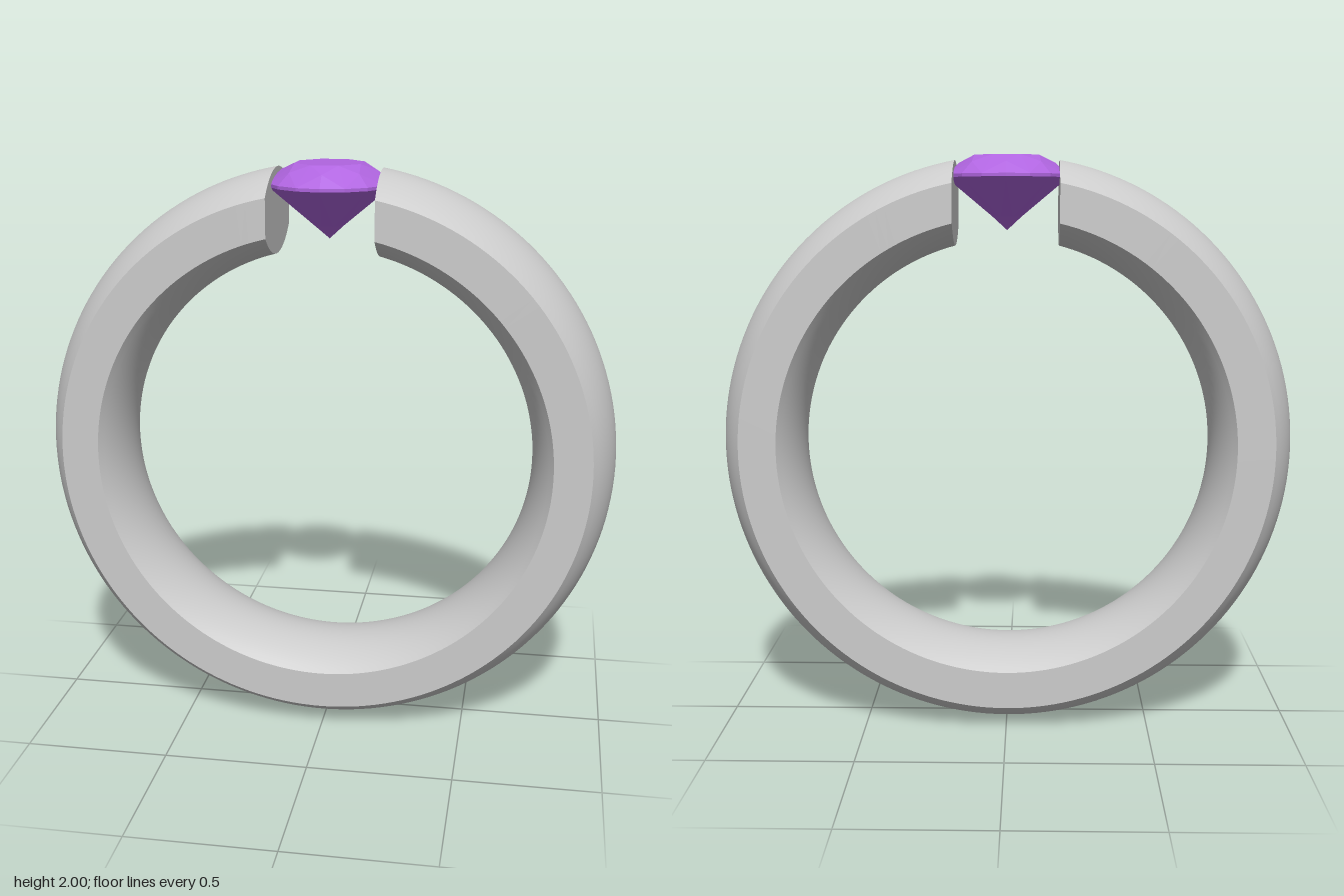
import * as THREE from 'three';

const W = 0.207;      // half width of the band
const GAP = 0.18;     // half opening at the top
const CY = 1.0;       // ring centre height

// Bulged edge of the band section: points [z, radius] between z0 and z1
function bulge(z0, z1, edge, crown, n = 20) {
  const sag = Math.abs(crown - edge), R = (W * W + sag * sag) / (2 * sag);
  return Array.from({ length: n + 1 }, (_, i) => {
    const z = z0 + (z1 - z0) * i / n;
    const h = Math.sqrt(R * R - z * z) - (R - sag);
    return [z, edge + Math.sign(crown - edge) * h];
  });
}

// Sweep a run of section points round the ring, stopping at the planes x = +-GAP
function sweep(points, n = 160) {
  const pos = [], idx = [], row = points.length;
  for (let i = 0; i <= n; i++) {
    for (const [z, r] of points) {
      const start = Math.asin(GAP / r);
      const a = start + (2 * Math.PI - 2 * start) * i / n;
      pos.push(r * Math.sin(a), CY + r * Math.cos(a), z);
    }
  }
  for (let i = 0; i < n; i++) {
    for (let j = 0; j < row - 1; j++) {
      const a = i * row + j, b = a + row;
      idx.push(a, a + 1, b, b, a + 1, b + 1);
    }
  }
  const g = new THREE.BufferGeometry();
  g.setAttribute('position', new THREE.Float32BufferAttribute(pos, 3));
  g.setIndex(idx);
  g.computeVertexNormals();
  return g;
}

// Round brilliant: facets between rings of points
function brilliant() {
  const ring = (n, r, y, turn) => Array.from({ length: n }, (_, i) => {
    const a = (i + turn) * 2 * Math.PI / n;
    return [r * Math.sin(a), y, r * Math.cos(a)];
  });
  const table = ring(8, 0.12, 2.0, 0.5);
  const kite = ring(8, 0.165, 1.975, 0);
  const upper = ring(16, 0.21, 1.935, 0);
  const lower = ring(16, 0.21, 1.924, 0);
  const waist = ring(8, 0.055, 1.792, 0.5);
  const top = [0, 2.0, 0], culet = [0, 1.745, 0];
  const pos = [];
  const tri = (...p) => p.forEach(v => pos.push(...v));
  for (let i = 0; i < 8; i++) {
    const j = (i + 1) % 8, g = 2 * i, h = g + 1, k = (g + 2) % 16;
    // table, star, bezel and upper girdle facets
    tri(top, table[i], table[j]);
    tri(table[i], kite[j], table[j]);
    tri(table[i], kite[i], upper[h]);
    tri(table[i], upper[h], kite[j]);
    tri(kite[i], upper[g], upper[h]);
    tri(kite[j], upper[h], upper[k]);
    // girdle
    for (const [a, b] of [[g, h], [h, k]]) {
      tri(upper[a], lower[a], lower[b]);
      tri(upper[a], lower[b], upper[b]);
    }
    // pavilion
    tri(lower[g], waist[i], lower[h]);
    tri(lower[h], waist[i], lower[k]);
    tri(lower[k], waist[i], waist[j]);
    tri(waist[i], culet, waist[j]);
  }
  const geo = new THREE.BufferGeometry();
  geo.setAttribute('position', new THREE.Float32BufferAttribute(pos, 3));
  geo.computeVertexNormals();
  return geo;
}

export function createModel() {
  const model = new THREE.Group();
  const metal = new THREE.MeshStandardMaterial({ color: 0xcccccc });
  const gem = new THREE.MeshStandardMaterial({ color: 0xb065e0, flatShading: true });
  const add = (parent, name, geometry, material) => {
    const mesh = new THREE.Mesh(geometry, material);
    mesh.name = name;
    parent.add(mesh);
    return mesh;
  };

  // Band: four strips with sharp edges between them
  const band = new THREE.Group();
  band.name = 'band';
  model.add(band);
  const outer = bulge(-W, W, 0.92, 1.0);
  const inner = bulge(W, -W, 0.79, 0.715);
  add(band, 'bandOuter', sweep(outer), metal);
  add(band, 'bandFront', sweep([[W, 0.92], [W, 0.79]]), metal);
  add(band, 'bandInner', sweep(inner), metal);
  add(band, 'bandBack', sweep([[-W, 0.79], [-W, 0.92]]), metal);

  // Flat ends either side of the stone
  const section = new THREE.Shape([...outer, ...inner].map(
    ([z, r]) => new THREE.Vector2(z, CY + Math.sqrt(r * r - GAP * GAP))));
  for (const side of [1, -1]) {
    const end = add(band, side > 0 ? 'leftEnd' : 'rightEnd', new THREE.ShapeGeometry(section), metal);
    end.rotation.y = -side * Math.PI / 2;
    end.position.x = side * GAP;
  }

  // Stone held between the ends
  add(model, 'gemstone', brilliant(), gem);
  return model;
}
